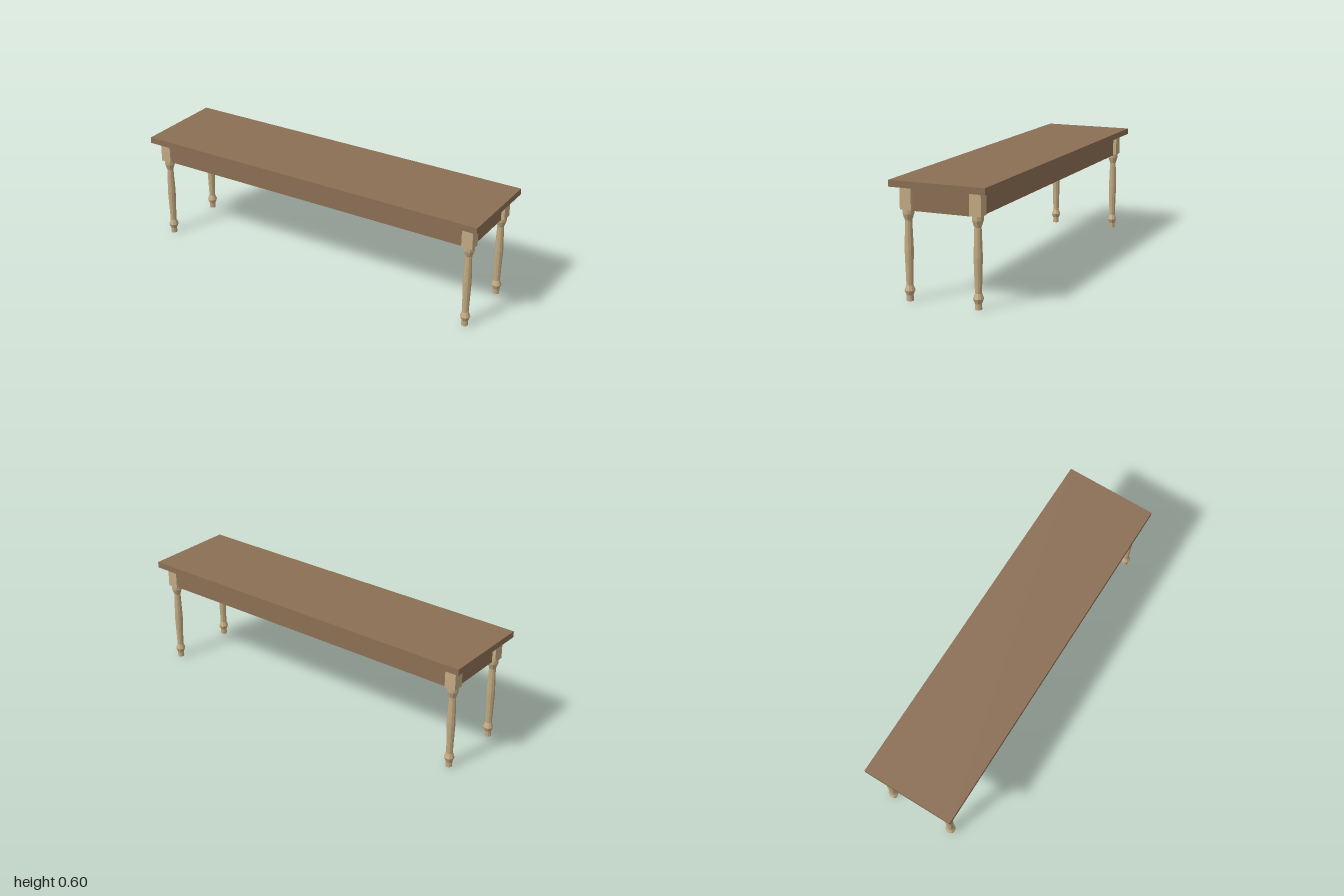
import * as THREE from 'three';

export function createModel() {
  const bench = new THREE.Group();
  bench.name = 'bench';

  const darkWood = new THREE.MeshStandardMaterial({ color: 0x8b6f54, flatShading: true });
  darkWood.name = 'dark wood';
  const paleWood = new THREE.MeshStandardMaterial({ color: 0xc2aa82, flatShading: true });
  paleWood.name = 'pale wood';

  const legX = 0.933, legZ = 0.184, blockSize = 0.06;
  const seatBottom = 0.569, seatTop = 0.602;
  const blockBottom = 0.455, apronBottom = 0.449, apronThick = 0.022;

  // Box placed by its size, centre in plan and vertical range
  function box(name, w, d, y0, y1, x, z, material, parent) {
    const mesh = new THREE.Mesh(new THREE.BoxGeometry(w, y1 - y0, d), material);
    mesh.position.set(x, (y0 + y1) / 2, z);
    mesh.name = name;
    parent.add(mesh);
  }

  // Plank top
  box('seat', 2, 0.506, seatBottom, seatTop, 0, 0, darkWood, bench);

  // Aprons between the leg blocks
  const apronLong = 2 * legX - blockSize, apronShort = 2 * legZ - blockSize;
  for (const s of [1, -1]) {
    box(s > 0 ? 'frontApron' : 'backApron', apronLong, apronThick, apronBottom, seatBottom, 0, s * legZ, darkWood, bench);
    box(s > 0 ? 'leftApron' : 'rightApron', apronThick, apronShort, apronBottom, seatBottom, s * legX, 0, darkWood, bench);
  }

  // Turned leg profile: foot, ring, swelling shaft, flared collar
  const profile = [
    [0, 0], [0.0175, 0], [0.0175, 0.029], [0.027, 0.053], [0.017, 0.08],
    [0.0225, 0.255], [0.0175, 0.4], [0.0285, 0.432], [0.0285, blockBottom],
  ].map(([r, y]) => new THREE.Vector2(r, y));
  const turning = new THREE.LatheGeometry(profile, 10);

  for (const sx of [1, -1]) {
    for (const sz of [1, -1]) {
      const leg = new THREE.Group();
      leg.name = (sz > 0 ? 'front' : 'back') + (sx > 0 ? 'Left' : 'Right') + 'Leg';
      leg.position.set(sx * legX, 0, sz * legZ);
      const post = new THREE.Mesh(turning, paleWood);
      post.name = 'turnedPost';
      leg.add(post);
      box('legBlock', blockSize, blockSize, blockBottom, seatBottom, 0, 0, paleWood, leg);
      bench.add(leg);
    }
  }
  return bench;
}
